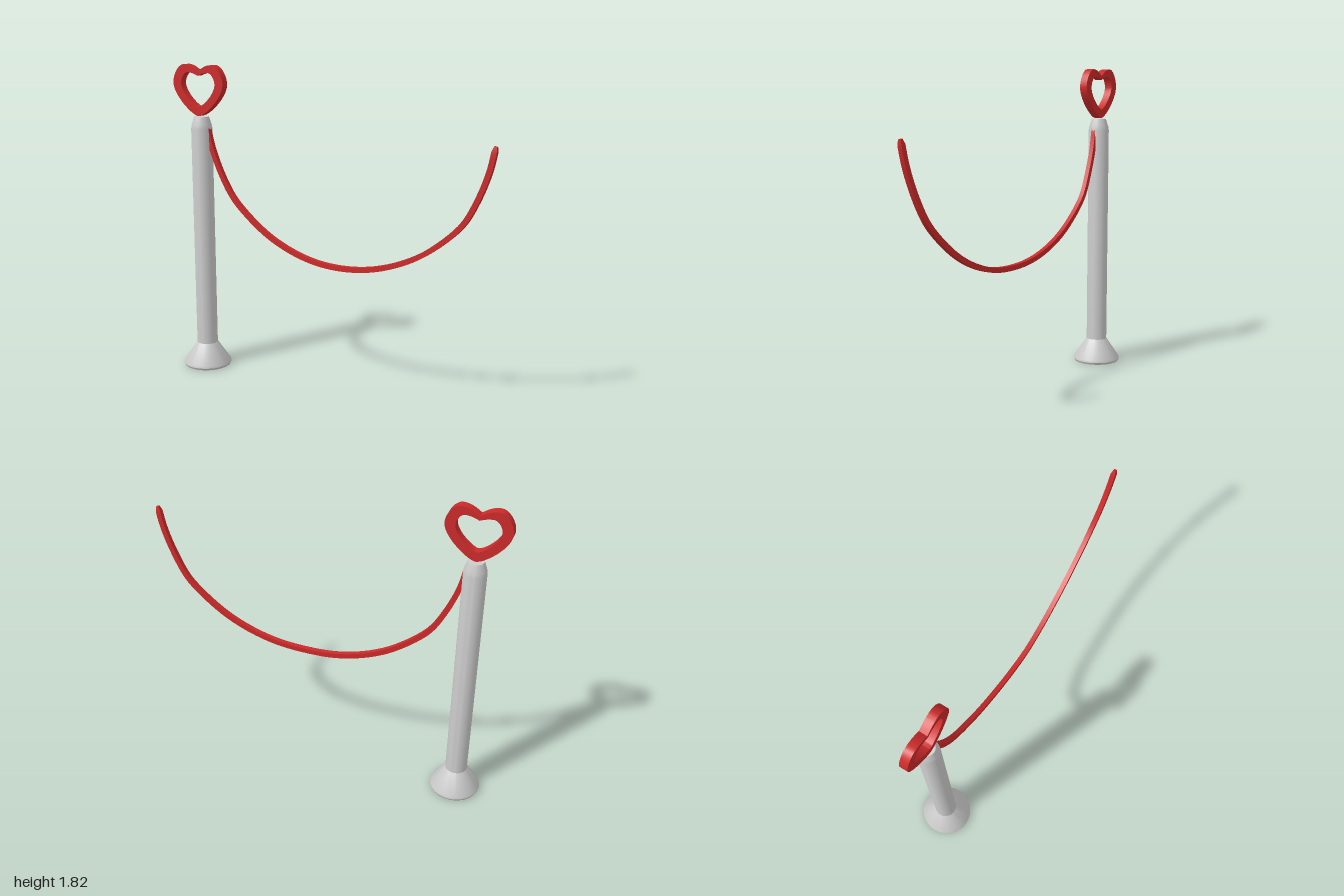
import * as THREE from 'three';
import { toCreasedNormals } from 'three/addons/utils/BufferGeometryUtils.js';

const POST_X = -0.826;
const ROPE_MID = 0.1;

// Heart outline, counter-clockwise and symmetric about x = 0, given by its key heights and widths.
function traceHeart(path, { notch, top, bottom, half, lobe, wide }) {
  const shoulder = lobe + (half - lobe) * 0.5;
  const upper = wide + (top - wide) * 0.45;
  const lower = wide - (wide - bottom) * 0.4;
  const dip = notch + (top - notch) * 0.6;
  path.moveTo(0, notch);
  path.bezierCurveTo(-lobe * 0.35, dip, -lobe * 0.6, top, -lobe, top);
  path.bezierCurveTo(-shoulder, top, -half, upper, -half, wide);
  path.bezierCurveTo(-half, lower, -half * 0.25, bottom, 0, bottom);
  path.bezierCurveTo(half * 0.25, bottom, half, lower, half, wide);
  path.bezierCurveTo(half, upper, shoulder, top, lobe, top);
  path.bezierCurveTo(lobe * 0.6, top, lobe * 0.35, dip, 0, notch);
  return path;
}

function addMesh(parent, name, geometry, material) {
  const mesh = new THREE.Mesh(geometry, material);
  mesh.name = name;
  parent.add(mesh);
  return mesh;
}

function lathe(points) {
  const geo = new THREE.LatheGeometry(points.map(([r, y]) => new THREE.Vector2(r, y)), 40);
  return toCreasedNormals(geo, 0.5);
}

// Square strand: a long box bent along the curve, narrowed at both tips.
function strand(curve, thickness, depth) {
  const geo = new THREE.BoxGeometry(thickness, 1, depth, 1, 90, 1);
  const pos = geo.attributes.position;
  for (let i = 0; i < pos.count; i++) {
    const t = THREE.MathUtils.clamp(pos.getY(i) + 0.5, 0, 1);
    const p = curve.getPointAt(t);
    const dir = curve.getTangentAt(t).setZ(0).normalize();
    const tip = t < 0.001 || t > 0.999 ? 0.55 : 1;
    const across = pos.getX(i) * tip;
    pos.setXYZ(i, p.x + dir.y * across, p.y - dir.x * across, p.z + pos.getZ(i) * tip);
  }
  geo.computeVertexNormals();
  return geo;
}

export function createModel() {
  const model = new THREE.Group();
  model.name = 'ropeBarrier';
  const grey = new THREE.MeshStandardMaterial({ color: 0xcccccc, side: THREE.DoubleSide });
  const red = new THREE.MeshStandardMaterial({ color: 0xcc2a2a });

  // Post with a chamfered top
  addMesh(model, 'post', lathe([
    [0, 0.13], [0.062, 0.13], [0.062, 1.45], [0.058, 1.475], [0.043, 1.52], [0, 1.52],
  ]), grey).position.x = POST_X;

  // Hollow flared foot, open underneath
  addMesh(model, 'foot', lathe([
    [0.055, 0.13], [0.134, 0.012], [0.134, 0.002], [0.137, 0], [0.143, 0.012], [0.141, 0.024], [0.062, 0.141],
  ]), grey).position.x = POST_X;

  // Heart ring on top of the post
  const outline = traceHeart(new THREE.Shape(),
    { notch: 1.78, top: 1.82, bottom: 1.525, half: 0.174, lobe: 0.095, wide: 1.712 });
  outline.holes.push(traceHeart(new THREE.Path(),
    { notch: 1.757, top: 1.775, bottom: 1.578, half: 0.118, lobe: 0.072, wide: 1.71 }));
  const heart = new THREE.ExtrudeGeometry(outline, { depth: 0.047, bevelEnabled: false, curveSegments: 14 });
  addMesh(model, 'heart', toCreasedNormals(heart, 0.6), red).position.set(POST_X, 0, -0.018);

  // Hanging rope: one half [distance from middle, y, z], mirrored about its lowest point
  const half = [
    [0.885, 1.477, 0.003], [0.855, 1.345, -0.001], [0.797, 1.195, -0.006], [0.725, 1.065, -0.012],
    [0.645, 0.98, -0.013], [0.49, 0.862, -0.012], [0.33, 0.785, -0.009], [0.165, 0.74, -0.004],
  ];
  const points = [
    ...half.map(([d, y, z]) => new THREE.Vector3(ROPE_MID - d, y, z)),
    new THREE.Vector3(ROPE_MID, 0.727, 0),
    ...half.slice().reverse().map(([d, y, z]) => new THREE.Vector3(ROPE_MID + d, y, z)),
  ];
  addMesh(model, 'rope', strand(new THREE.CatmullRomCurve3(points), 0.029, 0.027), red);
  return model;
}
